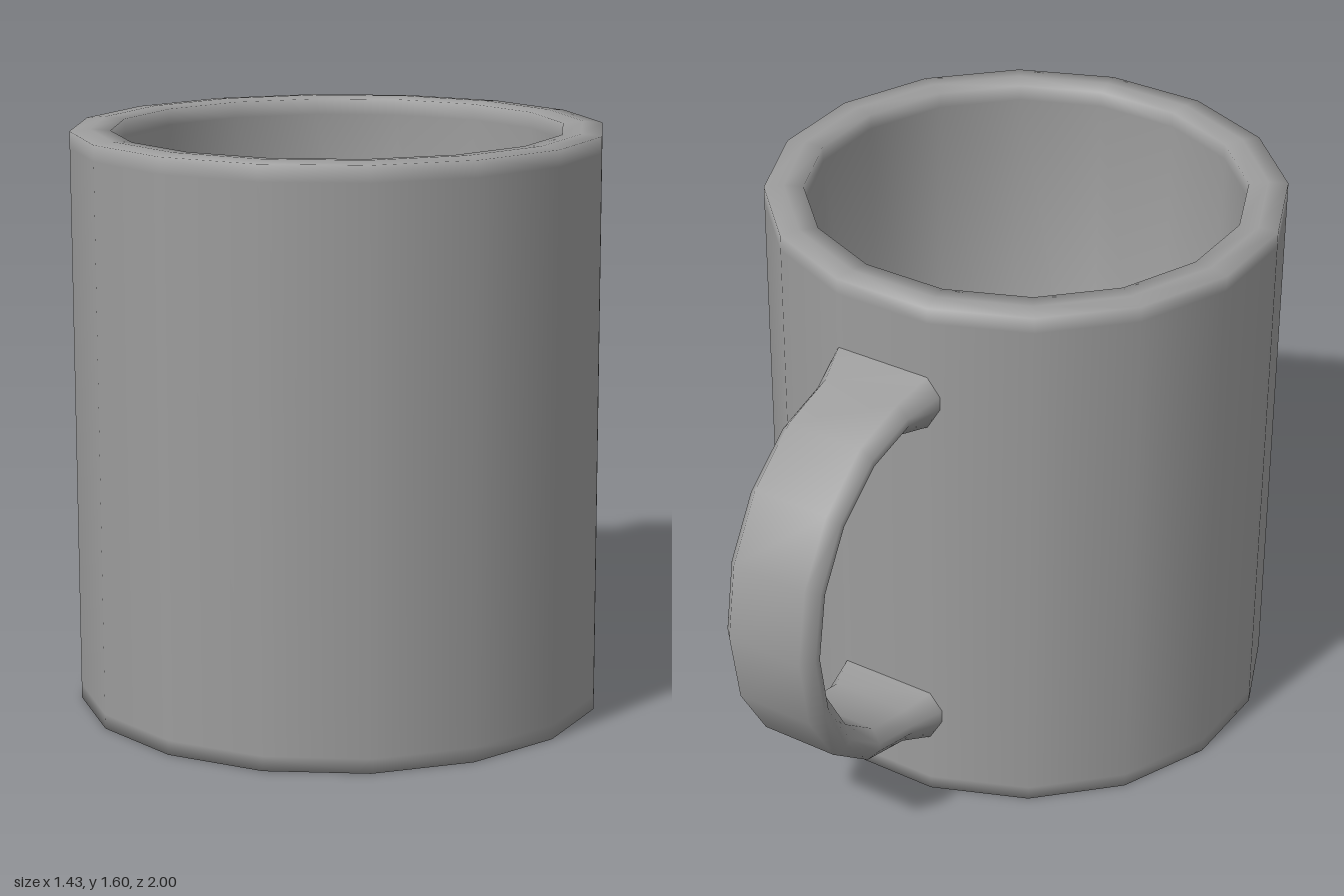
import * as THREE from 'three';

const SIDES = 16;
const CENTRE_Z = 0.285;
const toCorner = 1 / Math.cos(Math.PI / SIDES); // flat distance -> corner radius

export function createModel() {
  const group = new THREE.Group();
  const material = new THREE.MeshStandardMaterial({ color: 0x9c9c9c });

  // Cup: one closed profile, outside up, over the soft rim, inside down to a bowl-like floor
  const R = 0.715 * toCorner, r = 0.607 * toCorner;
  const profile = [
    [0, 0], [R - 0.05, 0], [R, 0], [R, 0.04], [R, 1.55], [R, 1.595],
    [(R + r) / 2, 1.6], [r, 1.595], [r, 1.55], [r, 0.1], [0, 0.1],
  ].map(([x, y]) => new THREE.Vector2(x, y));
  const cup = new THREE.Mesh(new THREE.LatheGeometry(profile, SIDES, Math.PI / SIDES), material);
  cup.position.z = CENTRE_Z;
  cup.name = 'cup';
  group.add(cup);

  // Handle: upper half as [outer z, outer y, inner z, inner y, half width]
  const MID = 0.785;
  const upper = [
    [-0.39, 1.385, -0.39, 1.23, 0.178],
    [-0.43, 1.385, -0.43, 1.23, 0.172],
    [-0.53, 1.345, -0.52, 1.245, 0.145],
    [-0.70, 1.30, -0.67, 1.21, 0.143],
    [-0.86, 1.175, -0.80, 1.11, 0.143],
    [-0.965, 1.0, -0.885, 0.96, 0.143],
    [-1.0, MID, -0.915, MID, 0.143],
  ];
  const lower = upper.slice(0, -1).reverse()
    .map(([oz, oy, iz, iy, w]) => [oz, 2 * MID - oy, iz, 2 * MID - iy, w]);
  const stations = [...upper, ...lower];

  // Chamfered band section: [side, inset, depth from outer to inner]
  const section = [
    [1, 0.03, 0], [-1, 0.03, 0], [-1, 0, 0.38], [-1, 0, 0.62],
    [-1, 0.03, 1], [1, 0.03, 1], [1, 0, 0.62], [1, 0, 0.38],
  ];
  const n = section.length, positions = [], index = [];
  stations.forEach(([oz, oy, iz, iy, w], s) => {
    section.forEach(([side, inset, t], k) => {
      positions.push(side * (w - inset), oy + (iy - oy) * t, oz + (iz - oz) * t);
      if (s === stations.length - 1) return;
      const a = s * n + k, b = s * n + (k + 1) % n;
      index.push(a, a + n, b, b, a + n, b + n);
    });
  });
  const geometry = new THREE.BufferGeometry();
  geometry.setAttribute('position', new THREE.Float32BufferAttribute(positions, 3));
  geometry.setIndex(index);
  geometry.computeVertexNormals();
  const handle = new THREE.Mesh(geometry, material);
  handle.name = 'handle';
  group.add(handle);

  return group;
}
